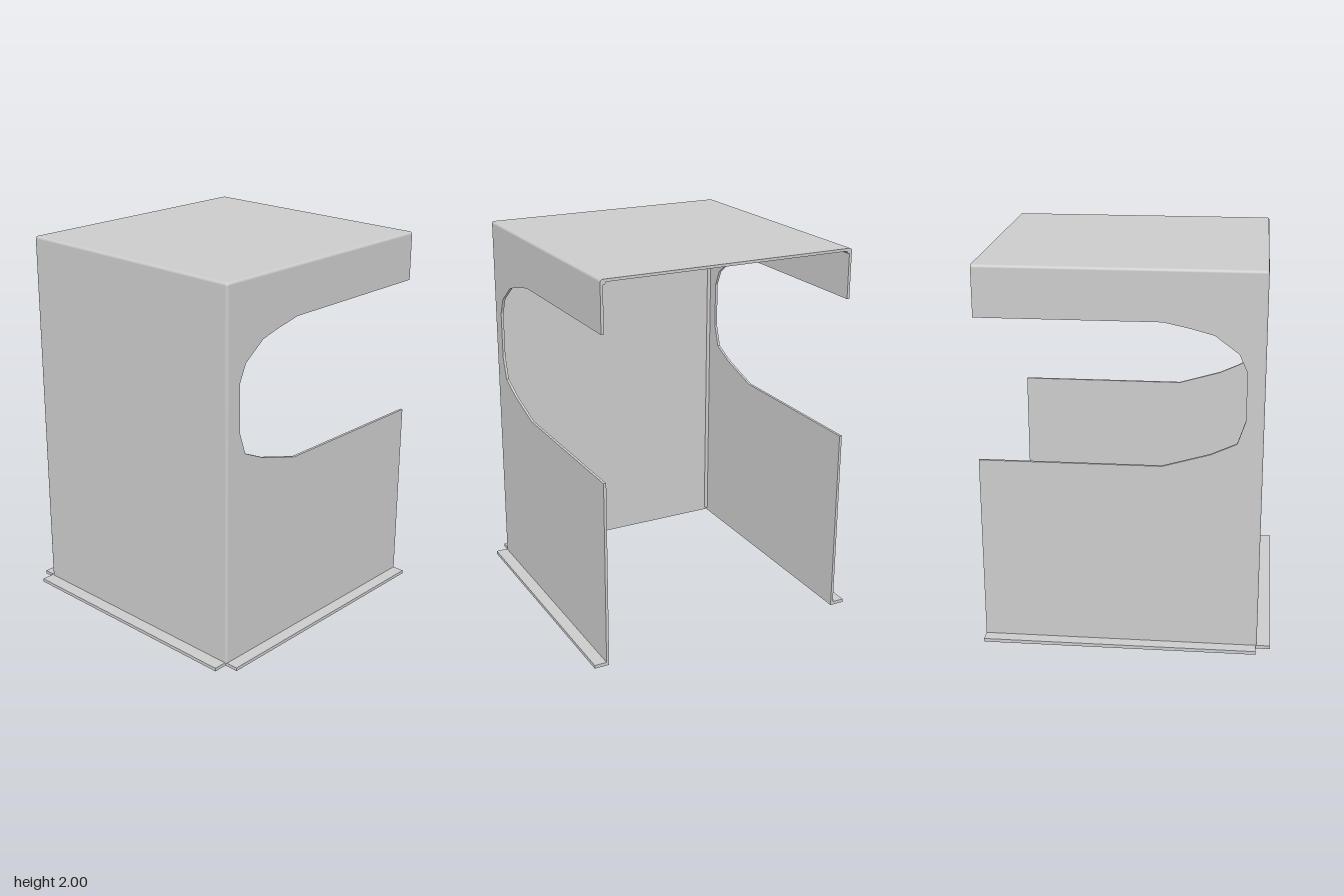
import * as THREE from 'three';

const T = 0.014;                       // sheet thickness, also bend radius
const L = -0.68, R = 0.745, H = 2;     // closed side, open side, height
const Z = 0.685;                       // outer face of front and back
const FLANGE = 0.75;                   // outer edge of the base flanges

export function createModel() {
  const model = new THREE.Group();
  const mat = new THREE.MeshStandardMaterial({ color: 0xcccccc, side: THREE.DoubleSide });

  const add = (name, geometry, x, y, z) => {
    const mesh = new THREE.Mesh(geometry, mat);
    mesh.name = name;
    mesh.position.set(x, y, z);
    model.add(mesh);
    return mesh;
  };
  // box given by its limits on each axis
  const slab = (name, x0, x1, y0, y1, z0, z1) =>
    add(name, new THREE.BoxGeometry(x1 - x0, y1 - y0, z1 - z0),
      (x0 + x1) / 2, (y0 + y1) / 2, (z0 + z1) / 2);
  // rounded bend running between two points
  const bend = (name, a, b) => {
    const from = new THREE.Vector3(...a), to = new THREE.Vector3(...b);
    const dir = to.clone().sub(from), mid = from.clone().add(to).multiplyScalar(0.5);
    const mesh = add(name, new THREE.CylinderGeometry(T, T, dir.length(), 16), mid.x, mid.y, mid.z);
    mesh.quaternion.setFromUnitVectors(new THREE.Vector3(0, 1, 0), dir.normalize());
  };

  // front and back outline: a C open towards +x
  const outline = [
    [L + T, T], [R, T], [R, 1], [-0.18, 1], [-0.42, 1.07], [-0.55, 1.13], [-0.59, 1.25],
    [-0.59, 1.5], [-0.55, 1.59], [-0.43, 1.68], [-0.32, 1.71], [-0.18, 1.74],
    [R, 1.74], [R, H - T], [L + T, H - T],
  ];
  const shape = new THREE.Shape(outline.map(([x, y]) => new THREE.Vector2(x, y)));
  const panel = new THREE.ExtrudeGeometry(shape, { depth: T, bevelEnabled: false });

  for (const [side, s] of [['front', 1], ['back', -1]]) {
    const zi = s * (Z - T);
    add(side + 'Panel', panel, 0, 0, s > 0 ? Z - T : -Z);
    // bends to the top and to the closed side
    bend(side + 'TopBend', [L + T, H - T, zi], [R, H - T, zi]);
    bend(side + 'CornerBend', [L + T, 0.015, zi], [L + T, H - T, zi]);
    add(side + 'CornerCap', new THREE.SphereGeometry(T, 16, 12), L + T, H - T, zi);
    // outward base flange
    slab(side + 'Flange', L + 0.005, R, 0, T + 0.004,
      Math.min(zi, s * FLANGE), Math.max(zi, s * FLANGE));
  }

  // closed side, top and their shared bend
  slab('sidePanel', L, L + T, T, H - T, -Z + T, Z - T);
  slab('topPanel', L + T, R, H - T, H, -Z + T, Z - T);
  bend('sideTopBend', [L + T, H - T, -Z + T], [L + T, H - T, Z - T]);
  slab('sideFlange', -0.75, L + T, 0, T + 0.004, -Z, Z - 0.01);

  return model;
}
